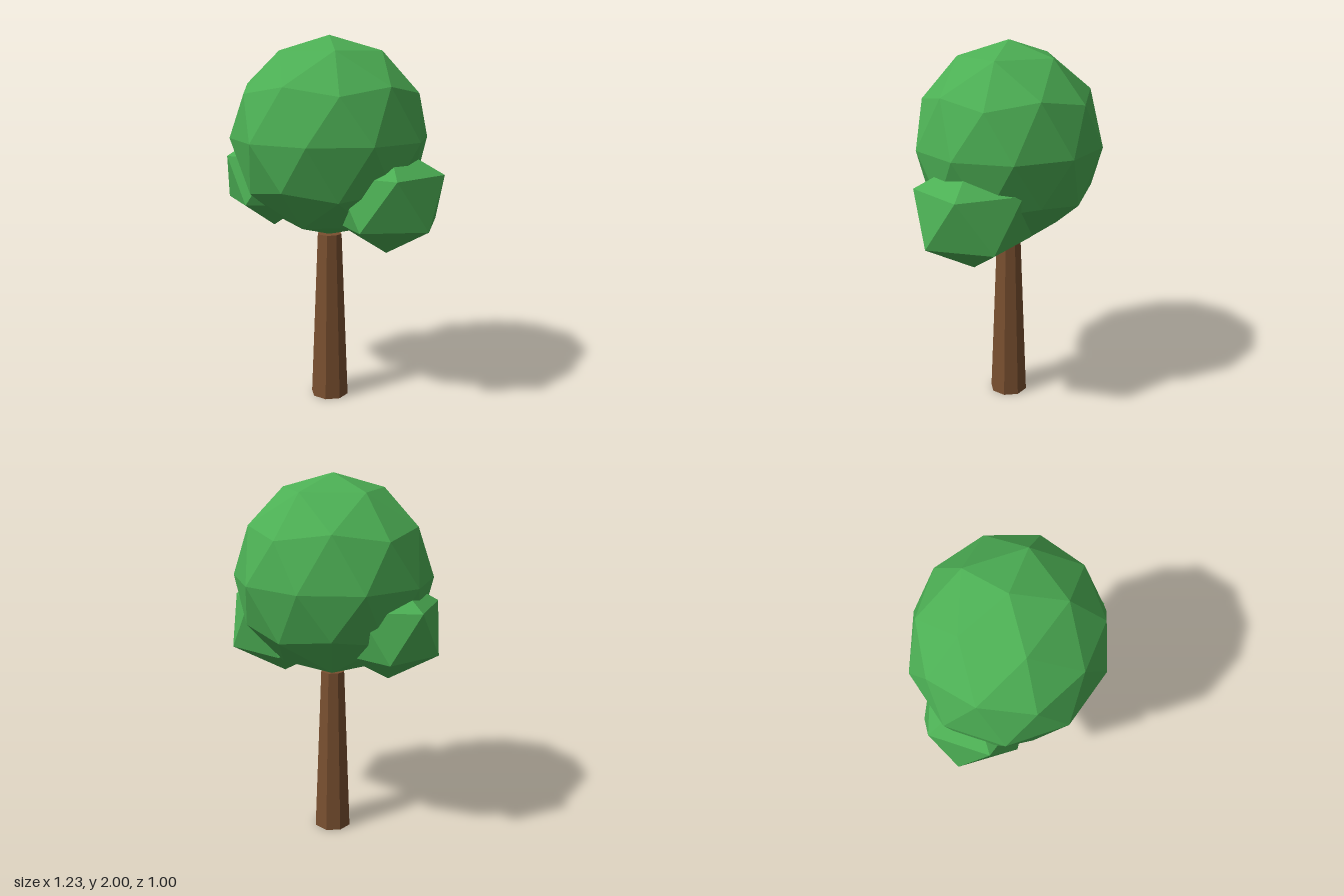
import * as THREE from 'three';

const leafGreen = new THREE.MeshStandardMaterial({ color: 0x4caf54, flatShading: true });
leafGreen.name = 'leafGreen';
const barkBrown = new THREE.MeshStandardMaterial({ color: 0x7a5030, flatShading: true });
barkBrown.name = 'barkBrown';

// Faceted foliage ball with one icosahedron corner straight up, stretched per axis
function foliage(name, detail, [rx, ry, rz], [x, y, z]) {
  const geometry = new THREE.IcosahedronGeometry(1, detail);
  geometry.rotateZ(-Math.atan(2 / (1 + Math.sqrt(5))));
  geometry.scale(rx, ry, rz);
  geometry.computeVertexNormals();
  const mesh = new THREE.Mesh(geometry, leafGreen);
  mesh.name = name;
  mesh.position.set(x, y, z);
  return mesh;
}

export function createModel() {
  const tree = new THREE.Group();
  tree.name = 'tree';

  // Tapered eight-sided trunk
  const trunkHeight = 0.94;
  const trunk = new THREE.Mesh(new THREE.CylinderGeometry(0.067, 0.105, trunkHeight, 8), barkBrown);
  trunk.name = 'trunk';
  trunk.position.set(-0.015, trunkHeight / 2, 0);
  tree.add(trunk);

  // Main crown and two smaller clumps at its lower sides
  tree.add(
    foliage('crown', 1, [0.533, 0.532, 0.5], [-0.017, 1.468, 0]),
    foliage('leftClump', 0, [0.33, 0.296, 0.333], [0.315, 1.169, 0.1]),
    foliage('rightClump', 0, [0.295, 0.28, 0.3], [-0.352, 1.237, -0.07]),
  );
  return tree;
}
